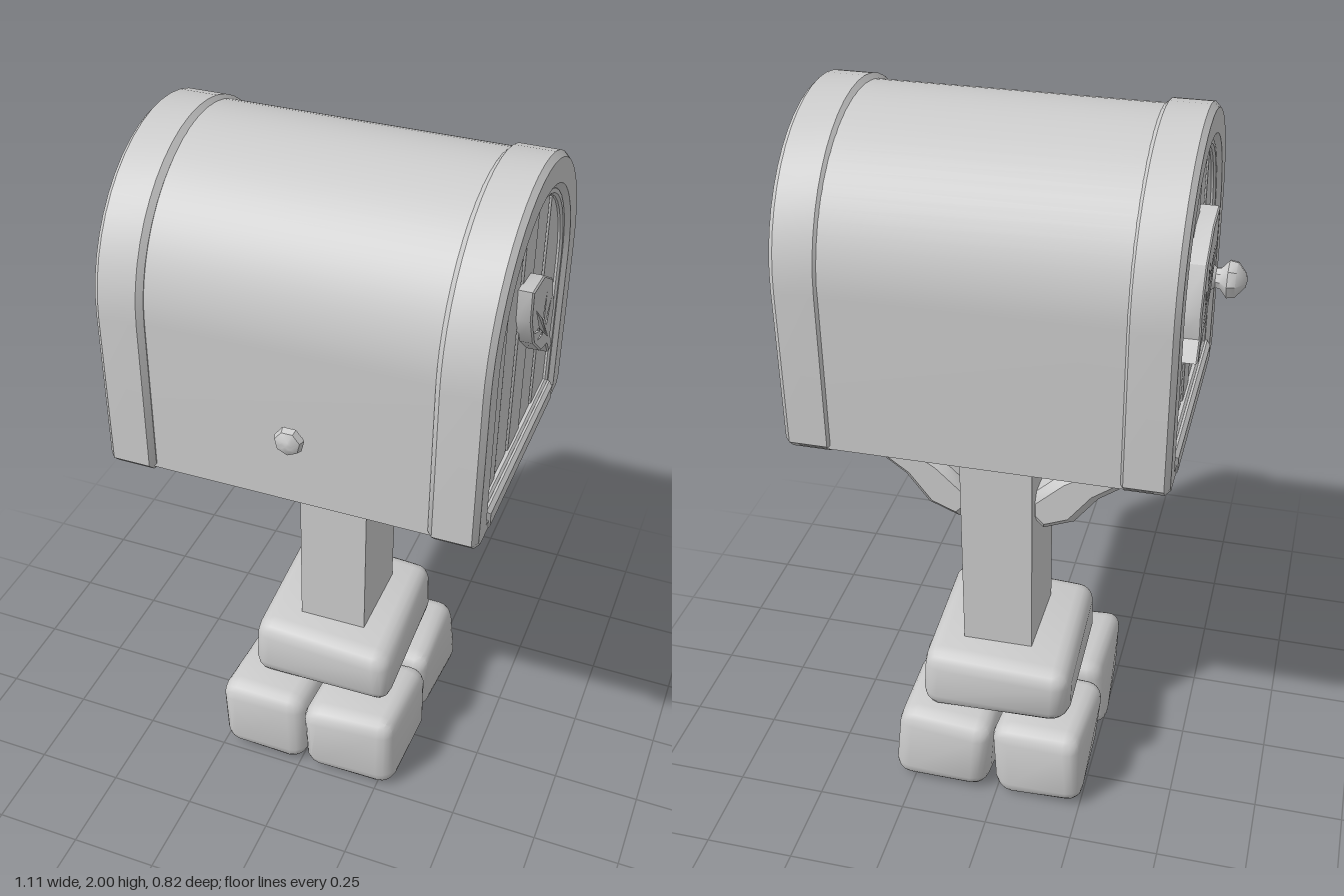
import * as THREE from 'three';
import { mergeVertices, toCreasedNormals } from 'three/addons/utils/BufferGeometryUtils.js';
import { RoundedBoxGeometry } from 'three/addons/geometries/RoundedBoxGeometry.js';

const material = new THREE.MeshStandardMaterial({ color: 0xcccccc });

function add(parent, name, geometry, x = 0, y = 0, z = 0) {
  const mesh = new THREE.Mesh(geometry, material);
  mesh.name = name;
  mesh.position.set(x, y, z);
  parent.add(mesh);
  return mesh;
}

// Extrudes a shape to an exact depth and outline, bevel included.
function slab(shape, depth, bevel, curveSegments = 12) {
  const g = new THREE.ExtrudeGeometry(shape, {
    depth: depth - 2 * bevel, bevelEnabled: bevel > 0, bevelThickness: bevel,
    bevelSize: bevel, bevelOffset: -bevel, bevelSegments: 1, curveSegments,
  });
  g.translate(0, 0, bevel);
  return toCreasedNormals(g, 0.6);
}

// Same, laid along x: shape x becomes -z, and the slab spans x0 to x1.
function slabAlongX(shape, x0, x1, bevel, segments) {
  return slab(shape, x1 - x0, bevel, segments).rotateY(Math.PI / 2).translate(x0, 0, 0);
}

// Straight sides with a half-round top and clipped lower corners.
function arch(Type, cx, cy, r, bottom, clip = 0) {
  const s = new Type();
  s.moveTo(cx - r + clip, bottom);
  s.lineTo(cx + r - clip, bottom);
  if (clip) s.lineTo(cx + r, bottom + clip);
  s.lineTo(cx + r, cy);
  s.absarc(cx, cy, r, 0, Math.PI, false);
  if (clip) s.lineTo(cx - r, bottom + clip);
  s.closePath();
  return s;
}

const polygon = (pts, Type = THREE.Shape) => new Type(pts.map(([x, y]) => new THREE.Vector2(x, y)));

// Rounded block whose vertices are pushed about by a smooth wobble.
function stone(w, h, d, seed) {
  let g = new RoundedBoxGeometry(w, h, d, 2, 0.05);
  g.deleteAttribute('normal');
  g.deleteAttribute('uv');
  g = mergeVertices(g, 1e-4);
  const p = g.attributes.position;
  for (let i = 0; i < p.count; i++) {
    const x = p.getX(i), y = p.getY(i), z = p.getZ(i);
    const taper = 1 - 0.06 * Math.abs(y / h);
    p.setXYZ(i,
      x * taper + 0.009 * Math.sin(11 * y + 9 * z + seed),
      y + 0.004 * Math.sin(13 * x + 8 * z + seed * 2),
      z * taper + 0.009 * Math.sin(10 * x + 12 * y + seed * 3));
  }
  return toCreasedNormals(g, 0.55);
}

function knob(profile, sides) {
  const g = new THREE.LatheGeometry(profile.map(([r, y]) => new THREE.Vector2(r, y)), sides);
  return toCreasedNormals(g, 0.7);
}

function leafGeometry() {
  const leaf = polygon([
    [-0.085, 1.72], [-0.08, 1.635], [-0.03, 1.545], [0.06, 1.47], [0.125, 1.45], [0.16, 1.405],
    [0.19, 1.415], [0.155, 1.465], [0.165, 1.54], [0.117, 1.65], [0.02, 1.71],
  ]);
  // Cut veins: a midrib and two pairs of side veins.
  leaf.holes.push(
    polygon([[-0.035, 1.64], [0.02, 1.565], [0.125, 1.475], [0.035, 1.575]], THREE.Path),
    polygon([[0.05, 1.572], [0.058, 1.565], [0.062, 1.64]], THREE.Path),
    polygon([[0.086, 1.54], [0.094, 1.532], [0.118, 1.588]], THREE.Path),
    polygon([[0.008, 1.566], [0.016, 1.556], [-0.04, 1.58]], THREE.Path),
    polygon([[0.05, 1.528], [0.058, 1.52], [0.005, 1.535]], THREE.Path));
  return leaf;
}

export function createModel() {
  const model = new THREE.Group();
  model.name = 'mailbox';

  // Stone footing: four blocks below and one on top
  const footing = new THREE.Group();
  footing.name = 'stoneFooting';
  model.add(footing);
  let seed = 1;
  for (const [x, w] of [[-0.125, 0.27], [0.16, 0.29]])
    for (const [z, d] of [[0.09, 0.31], [-0.235, 0.31]])
      add(footing, 'lowerStone', stone(w, 0.245, d, seed++), x, 0.126, z);
  add(footing, 'upperStone', stone(0.44, 0.195, 0.485, 6), 0.022, 0.343, -0.095);

  // Square post
  const post = polygon([[-0.1, -0.127], [0.1, -0.127], [0.1, 0.127], [-0.1, 0.127]]);
  add(model, 'post', slab(post, 0.8, 0.008).rotateX(-Math.PI / 2), 0.03, 0.4, -0.092);

  // Curved braces, mirrored about the post
  const brace = [[0.08, 0.87], [0.12, 0.83], [0.205, 0.865], [0.27, 0.95], [0.38, 1.03],
    [0.45, 1.07], [0.465, 1.145], [0.375, 1.145], [0.29, 1.09], [0.165, 1.01], [0.08, 0.93]];
  for (const side of [1, -1]) {
    const pts = brace.map(([x, y]) => [side * x, y]);
    add(model, side > 0 ? 'leftBrace' : 'rightBrace', slab(polygon(pts), 0.155, 0.022), 0.03, 0, -0.185);
  }

  // Box body
  add(model, 'body', slabAlongX(arch(THREE.Shape, 0.015, 1.6, 0.388, 1.162), -0.42, 0.5, 0, 20));

  // Each end: rim band, sill, planked door and leaf
  const ends = [
    { name: 'left', outer: 0.54, inner: 0.41, dir: 1, leafOut: 0.552 },
    { name: 'right', outer: -0.46, inner: -0.33, dir: -1, leafOut: -0.482 },
  ];
  for (const { name, outer, inner, dir, leafOut } of ends) {
    const end = new THREE.Group();
    end.name = name + 'End';
    model.add(end);
    const between = (shape, a, b, bevel, seg) =>
      slabAlongX(shape, Math.min(a, b), Math.max(a, b), bevel, seg);

    const rim = arch(THREE.Shape, 0.01, 1.6, 0.4, 1.147, 0.025);
    rim.holes.push(arch(THREE.Path, 0.01, 1.6, 0.31, 1.2));
    add(end, 'rimBand', between(rim, inner, outer, 0.014, 12));

    // Thin moulding just inside the rim
    const trim = arch(THREE.Shape, 0.01, 1.6, 0.315, 1.2);
    trim.holes.push(arch(THREE.Path, 0.01, 1.6, 0.292, 1.222));
    add(end, 'doorTrim', between(trim, inner, outer - dir * 0.012, 0.006, 10));

    const sill = polygon([[-0.3, 1.155], [0.31, 1.155], [0.31, 1.215], [-0.3, 1.215]]);
    add(end, 'sill', between(sill, inner, outer + dir * 0.004, 0.01));

    // Planks follow the arch at the top
    const edges = [-0.29, -0.165, -0.055, 0.06, 0.17, 0.31];
    const heightAt = u => 1.6 + Math.sqrt(Math.max(0, 0.3 ** 2 - (u - 0.01) ** 2));
    for (let i = 0; i < 5; i++) {
      const a = edges[i] + 0.002, b = edges[i + 1] - 0.002;
      const pts = [[a, 1.21], [b, 1.21]];
      for (let k = 0; k <= 5; k++) {
        const u = b + (a - b) * k / 5;
        pts.push([u, heightAt(u)]);
      }
      const face = outer - dir * (0.024 + 0.003 * (i % 2));
      add(end, 'doorPlank', between(polygon(pts), inner, face, 0.005));
    }
    add(end, 'leafOrnament', between(leafGeometry(), outer - dir * 0.035, leafOut, 0.004));
  }

  // Door knob on the right end
  const doorKnob = knob([[0, 0], [0.045, 0], [0.045, 0.025], [0.028, 0.045], [0.03, 0.058],
    [0.054, 0.078], [0.05, 0.1], [0.02, 0.124], [0, 0.128]], 8);
  add(model, 'doorKnob', doorKnob, -0.432, 1.475, 0.175).rotation.z = Math.PI / 2;

  // Small stud on the front
  const stud = knob([[0, 0], [0.025, 0], [0.028, 0.015], [0.04, 0.028], [0.034, 0.045], [0.014, 0.056], [0, 0.057]], 7);
  add(model, 'frontStud', stud, 0.05, 1.36, 0.355).rotation.x = Math.PI / 2;

  return model;
}
